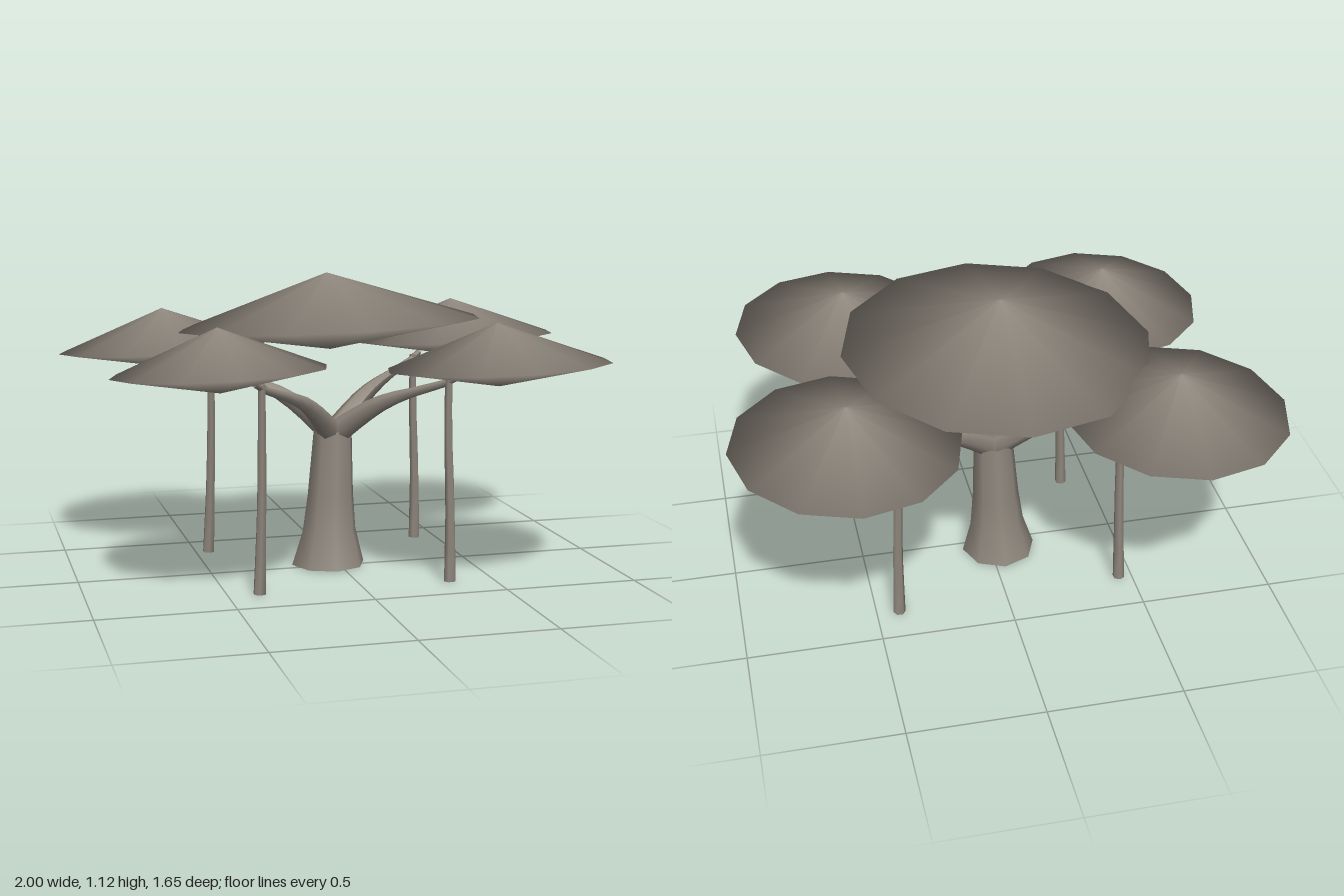
import * as THREE from 'three';

const bark = new THREE.MeshStandardMaterial({ color: 0x8f877d, side: THREE.DoubleSide });
bark.name = 'greyBrown';

const add = (group, name, geometry) => {
  const mesh = new THREE.Mesh(geometry, bark);
  mesh.name = name;
  group.add(mesh);
  return mesh;
};

// Tube along a path whose radius follows a list of values
function taperedTube(points, radii, sides, steps) {
  const curve = new THREE.CatmullRomCurve3(points.map(p => new THREE.Vector3(...p)));
  const geo = new THREE.TubeGeometry(curve, steps, 1, sides);
  const pos = geo.attributes.position;
  const v = new THREE.Vector3();
  for (let i = 0; i <= steps; i++) {
    const centre = curve.getPointAt(i / steps);
    const f = (i / steps) * (radii.length - 1);
    const k = Math.min(Math.floor(f), radii.length - 2);
    const r = THREE.MathUtils.lerp(radii[k], radii[k + 1], f - k);
    for (let j = 0; j <= sides; j++) {
      const n = i * (sides + 1) + j;
      v.fromBufferAttribute(pos, n).sub(centre).multiplyScalar(r).add(centre);
      pos.setXYZ(n, v.x, v.y, v.z);
    }
  }
  geo.computeVertexNormals();
  return geo;
}

// Flat, twelve-sided leaf pad, pointed above and below
function pad(group, name, [x, y, z], radius, up, down) {
  const profile = [[0, -down], [radius, 0], [0, up]].map(p => new THREE.Vector2(...p));
  const mesh = add(group, name, new THREE.LatheGeometry(profile, 12));
  mesh.position.set(x, y, z);
  mesh.rotation.set(-0.055, 0, 0.035);
}

export function createModel() {
  const tree = new THREE.Group();
  tree.name = 'tree';

  // Flared trunk, leaning slightly back
  const trunkProfile = [[0.142, 0], [0.105, 0.13], [0.09, 0.27], [0.075, 0.52]];
  const trunkGeo = new THREE.LatheGeometry(trunkProfile.map(p => new THREE.Vector2(...p)), 8);
  const pos = trunkGeo.attributes.position;
  for (let i = 0; i < pos.count; i++) {
    const t = pos.getY(i) / 0.52;
    pos.setX(i, pos.getX(i) - 0.035 + 0.025 * t);
    pos.setZ(i, pos.getZ(i) - 0.04 - 0.022 * t);
  }
  add(tree, 'trunk', trunkGeo);

  // Main pad over the trunk
  pad(tree, 'mainCanopy', [-0.03, 0.93, -0.04], 0.577, 0.192, 0.097);

  // Outer pads, each with a branch and a hanging root
  const sides = [
    { name: 'backRight', pad: [-0.6, 0.81, -0.425], root: [-0.45, -0.33], top: [-0.435, -0.315] },
    { name: 'backLeft', pad: [0.585, 0.822, -0.405], root: [0.415, -0.36], top: [0.4, -0.345] },
    { name: 'frontRight', pad: [-0.53, 0.818, 0.37], root: [-0.385, 0.33], top: [-0.37, 0.32], r: 0.385 },
    { name: 'frontLeft', pad: [0.485, 0.81, 0.41], root: [0.335, 0.335], top: [0.325, 0.325] },
  ];
  for (const s of sides) {
    pad(tree, s.name + 'Canopy', s.pad, s.r ?? 0.41, 0.155, 0.075);
    const [tx, tz] = s.top;
    const [rx, rz] = s.root;
    add(tree, s.name + 'Branch', taperedTube([
      [-0.01, 0.5, -0.06],
      [tx * 0.42, 0.645, -0.05 + (tz + 0.05) * 0.45],
      [tx, 0.745, tz],
      [tx * 1.08, 0.765, tz * 1.08],
    ], [0.05, 0.036, 0.018, 0.012], 6, 9));
    add(tree, s.name + 'Root', taperedTube([
      [rx, 0, rz], [(rx + tx) / 2 + 0.003, 0.3, (rz + tz) / 2], [tx, 0.56, tz], [tx, 0.76, tz],
    ], [0.023, 0.018, 0.016, 0.014], 6, 6));
  }
  return tree;
}
